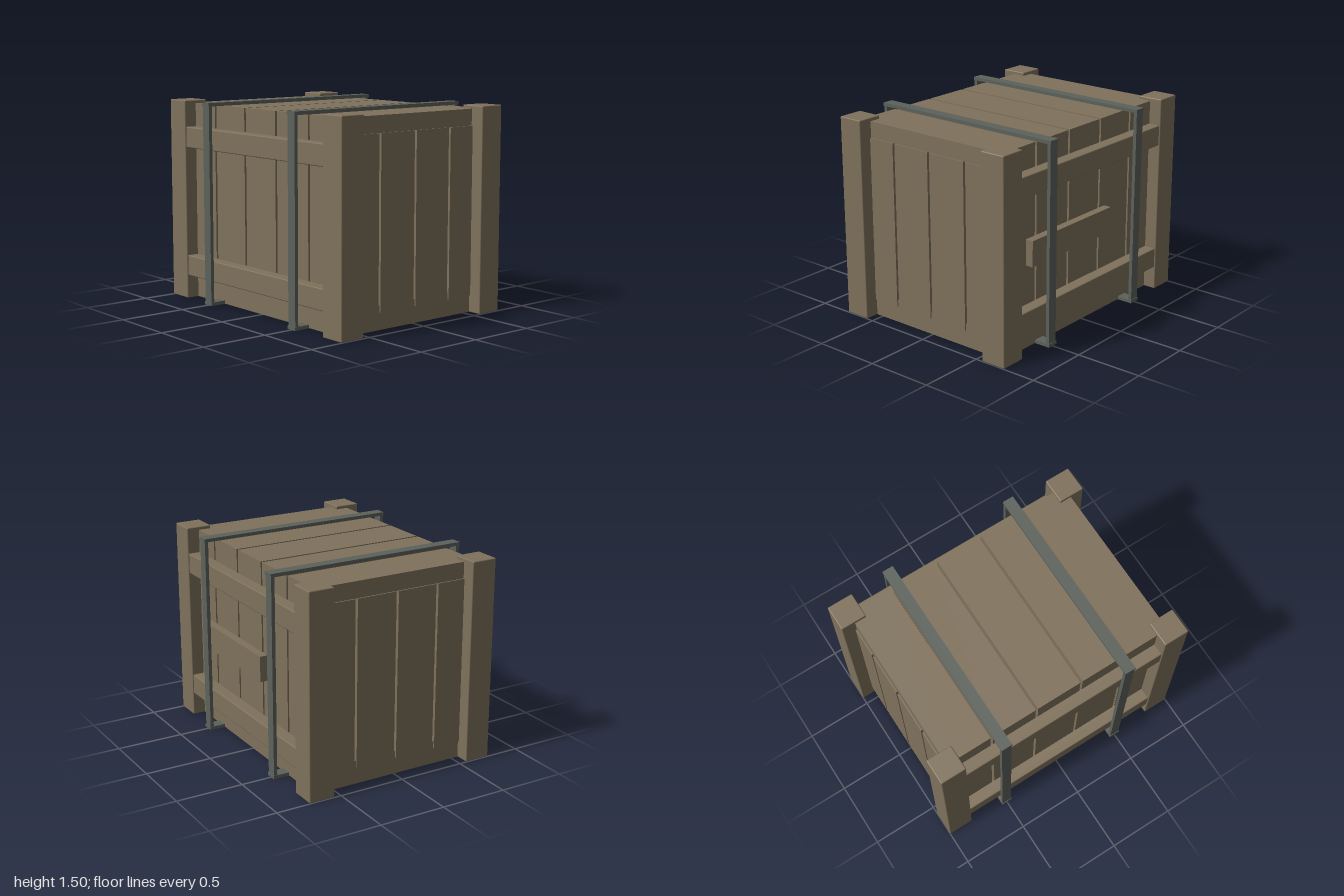
import * as THREE from 'three';
import { RoundedBoxGeometry } from 'three/addons/geometries/RoundedBoxGeometry.js';

export function createModel() {
  const crate = new THREE.Group();
  crate.name = 'crate';
  const wood = new THREE.MeshStandardMaterial({ name: 'weatheredWood', color: 0x7f715b });
  const metal = new THREE.MeshStandardMaterial({ name: 'greyMetal', color: 0x5d625c });

  // Box given by its lower and upper limits on each axis; bevel is optional
  function box(name, material, [x0, x1], [y0, y1], [z0, z1], bevel = 0) {
    const size = [x1 - x0, y1 - y0, z1 - z0];
    const geometry = bevel
      ? new RoundedBoxGeometry(...size, 2, bevel)
      : new THREE.BoxGeometry(...size);
    const mesh = new THREE.Mesh(geometry, material);
    mesh.name = name;
    mesh.position.set((x0 + x1) / 2, (y0 + y1) / 2, (z0 + z1) / 2);
    crate.add(mesh);
  }
  // The same range mirrored to the chosen side of zero
  const side = (s, a, b) => (s > 0 ? [a, b] : [-b, -a]);

  // Floor
  box('floor', wood, [-0.895, 0.895], [0.002, 0.175], [-0.65, 0.65]);

  // Lid, front and back planks share the same five columns
  for (let i = -2; i <= 2; i++) {
    const x = [i * 0.363 - 0.172, i * 0.363 + 0.172];
    if (i === -2) x[0] = -0.895;
    if (i === 2) x[1] = 0.895;
    box('lidPlank', wood, x, [1.355, 1.475], [-0.65, 0.65]);
    for (const s of [-1, 1]) {
      box(s > 0 ? 'frontPlank' : 'backPlank', wood, x, [0.175, 1.355], side(s, 0.6, 0.65));
    }
  }

  // Side planks, standing slightly proud of lid and floor
  for (const s of [-1, 1]) {
    for (let i = 0; i < 4; i++) {
      const z = (i - 1.5) * 0.326;
      box(s > 0 ? 'leftPlank' : 'rightPlank', wood,
        side(s, 0.85, 0.905), [0.125, 1.355], [z - 0.154, z + 0.154]);
    }
  }

  // Corner posts
  for (const sx of [-1, 1]) {
    for (const sz of [-1, 1]) {
      box('cornerPost', wood, side(sx, 0.805, 1), [0, 1.5], side(sz, 0.553, 0.747), 0.008);
    }
  }

  // Horizontal rails on front and back
  for (const s of [-1, 1]) {
    for (const y of [0.175, 1.148]) {
      box(s > 0 ? 'frontRail' : 'backRail', wood,
        [-0.81, 0.81], [y, y + 0.155], side(s, 0.64, 0.738), 0.008);
    }
  }

  // Batten on the back
  box('backBatten', wood, [-0.25, 0.65], [0.62, 0.81], [-0.71, -0.645]);

  // Metal straps, each a loop of four bars
  for (const s of [-1, 1]) {
    const x = side(s, 0.458, 0.542);
    box('strapTop', metal, x, [1.475, 1.5], [-0.772, 0.772]);
    box('strapBottom', metal, x, [0, 0.025], [-0.772, 0.772]);
    for (const sz of [-1, 1]) {
      box('strapUpright', metal, side(s, 0.462, 0.538), [0.025, 1.475], side(sz, 0.742, 0.768));
    }
  }
  return crate;
}
